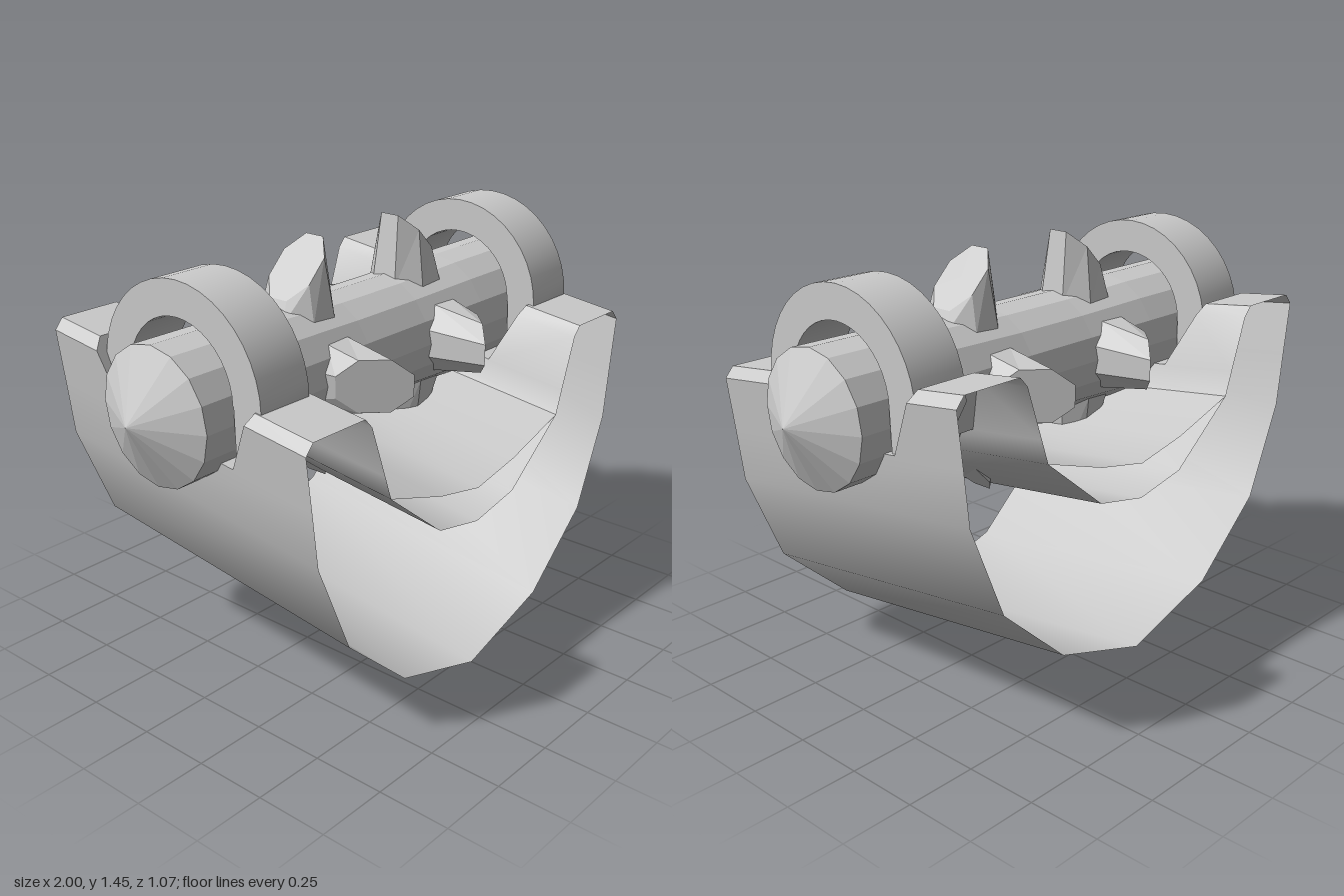
import * as THREE from 'three';
import { toCreasedNormals } from 'three/addons/utils/BufferGeometryUtils.js';

const thin = new THREE.MeshStandardMaterial({ color: 0xcccccc, side: THREE.DoubleSide });
const faceted = new THREE.MeshStandardMaterial({ color: 0xcccccc, flatShading: true });

const AXIS_Y = 1.042;   // height of the roller axis
const HALF = 0.537;     // half depth of the cradle
const SLOPE = 0.126;    // the cradle rises towards the back
const rise = (y, z) => y + SLOPE * (HALF - z);

function add(parent, name, geometry, material) {
  const m = new THREE.Mesh(geometry, material);
  m.name = name;
  parent.add(m);
  return m;
}

// Surface from a profile of [x, y] swept between two z limits (functions of y)
function sweep(profile, zA, zB) {
  const pos = [], idx = [];
  profile.forEach(([x, y], i) => {
    for (const z of [zA(y), zB(y)]) pos.push(x, rise(y, z), z);
    if (i) {
      const a = 2 * i - 2;
      idx.push(a, a + 1, a + 2, a + 1, a + 3, a + 2);
    }
  });
  const g = new THREE.BufferGeometry();
  g.setAttribute('position', new THREE.Float32BufferAttribute(pos, 3));
  g.setIndex(idx);
  g.computeVertexNormals();
  return toCreasedNormals(g, 0.7);
}

// Flat fan closing a profile at the z limit
function fan(profile, zF) {
  const pos = [], idx = [];
  profile.forEach(([x, y], i) => {
    pos.push(x, rise(y, zF(y)), zF(y));
    if (i > 1) idx.push(0, i - 1, i);
  });
  const g = new THREE.BufferGeometry();
  g.setAttribute('position', new THREE.Float32BufferAttribute(pos, 3));
  g.setIndex(idx);
  g.computeVertexNormals();
  return g;
}

const mirrored = half => [...half, ...half.slice(0, -1).reverse().map(([x, y]) => [-x, y])];

function buildCradle() {
  const cradle = new THREE.Group();
  cradle.name = 'cradle';
  const front = () => HALF, back = () => -HALF;

  // Full-depth curved skins, open at both ends
  const skins = {
    outerShell: [[0.798, 0.87], [0.775, 0.68], [0.64, 0.36], [0.37, 0.12], [0, 0.005]],
    innerShell: [[0.479, 0.87], [0.45, 0.785], [0.2, 0.585], [0, 0.545]],
    innerFloor: [[0.45, 0.785], [0.2, 0.705], [0, 0.665]],
  };
  for (const [name, half] of Object.entries(skins))
    add(cradle, name, sweep(mirrored(half), front, back), thin);

  // Rims, interrupted by a tapered notch for each bearing
  const K = 0.45;
  const notch = y => 0.24 + K * (y + SLOPE * HALF - 0.94);
  const notchFront = y => notch(y) / (1 + SLOPE * K);
  const notchBack = y => -notch(y) / (1 - SLOPE * K);
  const rim = [[0.479, 0.87], [0.54, 1.045], [0.57, 1.078], [0.79, 1.078], [0.82, 1.043], [0.798, 0.87]];
  for (const s of [1, -1]) {
    const p = rim.map(([x, y]) => [s * x, y]);
    add(cradle, 'frontRim', sweep(p, front, notchFront), thin);
    add(cradle, 'backRim', sweep(p, notchBack, back), thin);
    add(cradle, 'frontNotchSide', fan(p, notchFront), thin);
    add(cradle, 'backNotchSide', fan(p, notchBack), thin);
    add(cradle, 'notchFloor', sweep([p[0], p[5]], notchFront, notchBack), thin);
  }
  return cradle;
}

// Arched bearing: half ring with tapering feet
function bearingGeometry() {
  const cy = 1.1, width = 0.2;
  const shape = new THREE.Shape();
  shape.moveTo(0.24, 0.93);
  shape.lineTo(0.335, cy);
  shape.absarc(0, cy, 0.335, 0, Math.PI, false);
  shape.lineTo(-0.24, 0.93);
  shape.lineTo(-0.23, 0.93);
  shape.lineTo(-0.225, cy);
  shape.absarc(0, cy, 0.222, Math.PI, 0, true);
  shape.lineTo(0.23, 0.93);
  const g = new THREE.ExtrudeGeometry(shape, { depth: width, bevelEnabled: false, curveSegments: 10 });
  g.translate(0, 0, -width / 2);
  g.rotateY(Math.PI / 2);
  return toCreasedNormals(g, 0.6);
}

// Eight-sided spike with a slanted end, higher on the side given by dir
function spikeGeometry(dir) {
  const g = new THREE.CylinderGeometry(0.094, 0.127, 0.2, 8, 1, false, Math.PI / 8);
  const p = g.attributes.position;
  for (let i = 0; i < p.count; i++) {
    const top = p.getY(i) > 0;
    p.setY(i, top ? 0.325 + dir * p.getX(i) * 1.0 : 0.17);
  }
  return g;
}

function buildRoller() {
  const roller = new THREE.Group();
  roller.name = 'roller';
  roller.position.y = AXIS_Y;

  // Slightly waisted drum with pointed ends
  const half = [[0, 1], [0.223, 0.89], [0.22, 0.45], [0.208, 0.15]];
  const pts = [...half.map(([r, x]) => [r, -x]), ...half.slice().reverse()]
    .map(([r, x]) => new THREE.Vector2(r, x));
  const drum = new THREE.LatheGeometry(pts, 16);
  drum.rotateZ(-Math.PI / 2);
  add(roller, 'drum', drum, faceted);

  // Two rows of four spikes
  for (const s of [1, -1]) {
    const g = spikeGeometry(-s);
    for (let k = 0; k < 4; k++) {
      const spike = add(roller, 'spike', g, faceted);
      spike.position.x = s * 0.275;
      spike.rotation.x = k * Math.PI / 2;
    }
  }
  return roller;
}

export function createModel() {
  const model = new THREE.Group();
  model.name = 'spikedRollerOnCradle';
  model.add(buildCradle(), buildRoller());
  const bearing = bearingGeometry();
  for (const s of [1, -1])
    add(model, 'bearingArch', bearing, thin).position.x = s * 0.685;
  return model;
}
